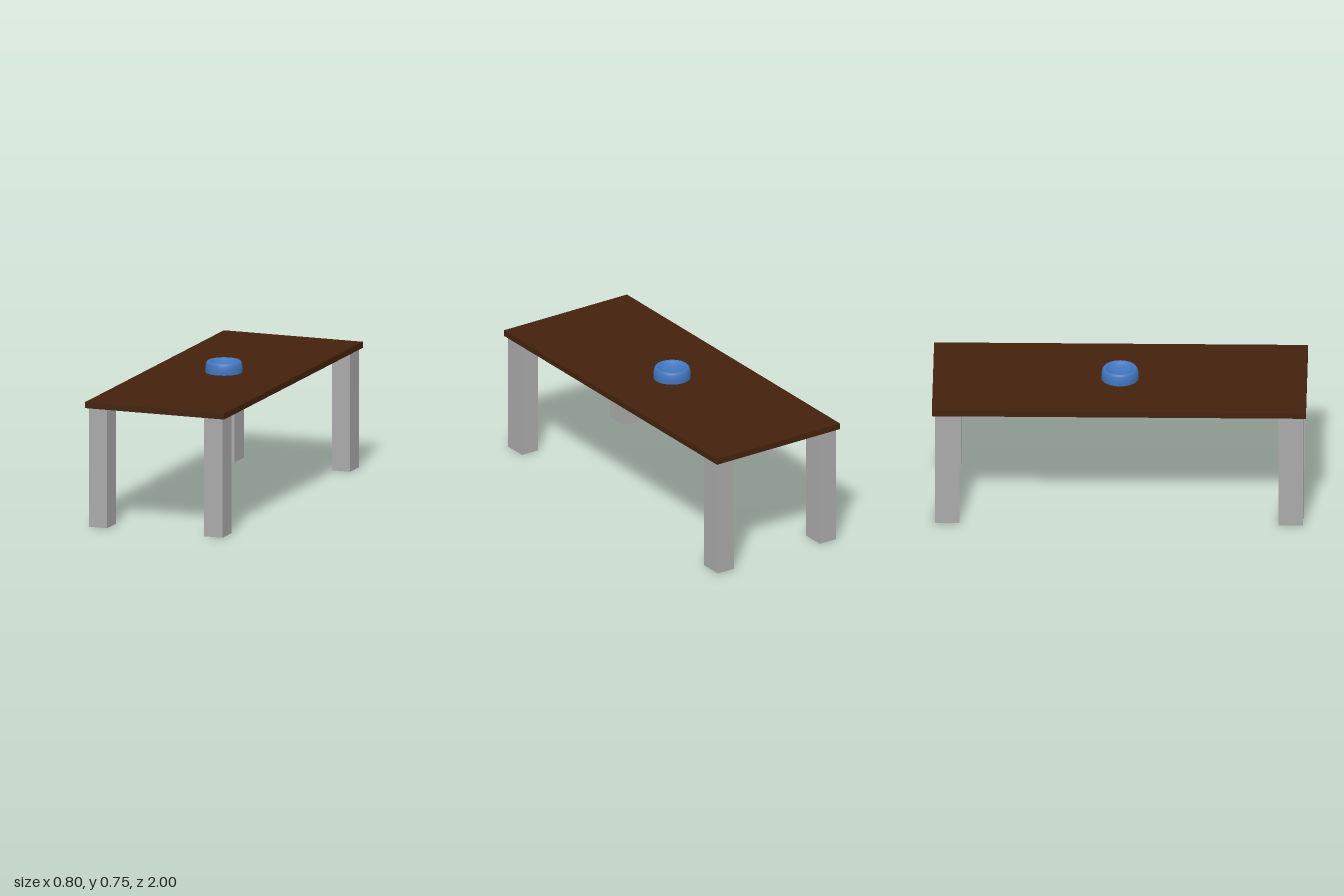
import * as THREE from 'three';

const material = (name, color) => {
  const m = new THREE.MeshStandardMaterial({ color });
  m.name = name;
  return m;
};

export function createModel() {
  const group = new THREE.Group();
  group.name = 'tableWithBowl';
  const brown = material('dark brown wood', 0x44220d);
  const grey = material('grey', 0xaaaaaa);
  const blue = material('blue', 0x4275bd);

  const add = (name, geometry, mat, x, y, z) => {
    const mesh = new THREE.Mesh(geometry, mat);
    mesh.name = name;
    mesh.position.set(x, y, z);
    group.add(mesh);
  };

  // Table top
  const legHeight = 0.65, topThickness = 0.033;
  add('tableTop', new THREE.BoxGeometry(0.8, topThickness, 2), brown, 0, legHeight + topThickness / 2, 0);

  // Four legs, one near each corner
  const leg = new THREE.BoxGeometry(0.105, legHeight, 0.131);
  for (const [end, z] of [['front', 0.919], ['back', -0.919]])
    for (const [side, x] of [['Left', 0.332], ['Right', -0.332]])
      add(`${end}${side}Leg`, leg, grey, x, legHeight / 2, z);

  // Round dish with a rolled rim and a shallow hollow
  const outline = new THREE.SplineCurve([
    [0.1, 0], [0.1, 0.02], [0.098, 0.038], [0.093, 0.055], [0.084, 0.0625],
    [0.075, 0.059], [0.06, 0.048], [0.035, 0.038], [0, 0.034],
  ].map(([x, y]) => new THREE.Vector2(x, y)));
  const profile = outline.getPoints(32);
  profile[32].x = 0;
  add('dish', new THREE.LatheGeometry(profile, 48), blue, 0, legHeight + topThickness, 0);

  return group;
}
